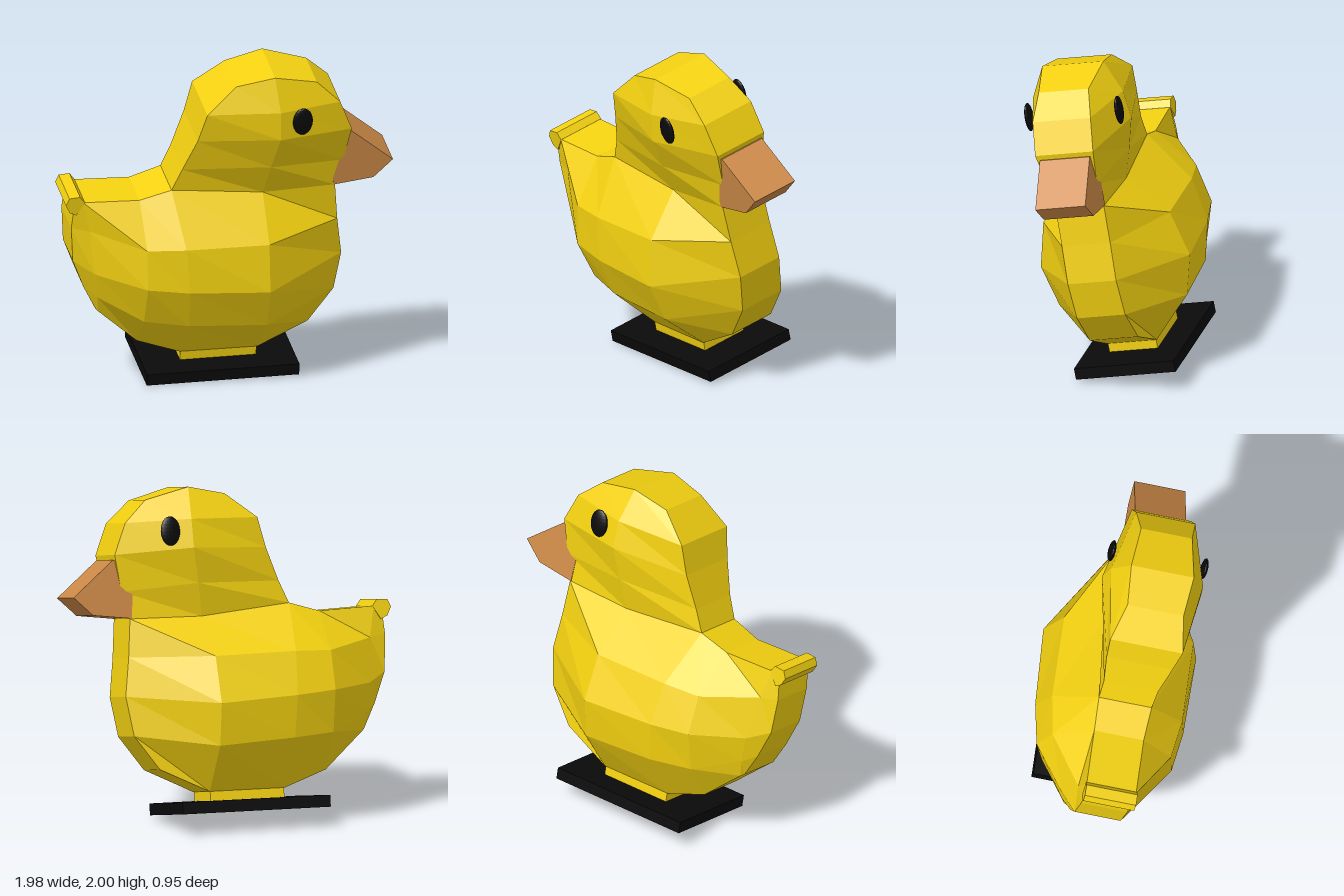
import * as THREE from 'three';

const mat = (color) => new THREE.MeshStandardMaterial({ color, flatShading: true });

// Closed shell from columns of [x, y, halfDepth] (rows run top to bottom), mirrored in z
// and joined around the border by a flat middle band.
function shell(columns) {
  const pos = [];
  const nc = columns.length, nr = columns[0].length;
  const p = (c, r, s) => {
    const [x, y, d] = columns[c][r];
    return [x, y, d * s];
  };
  const quad = (a, b, c, d) => pos.push(...a, ...b, ...c, ...a, ...c, ...d);
  for (let c = 0; c < nc - 1; c++) {
    for (let r = 0; r < nr - 1; r++) {
      quad(p(c, r, 1), p(c, r + 1, 1), p(c + 1, r + 1, 1), p(c + 1, r, 1));
      quad(p(c + 1, r, -1), p(c + 1, r + 1, -1), p(c, r + 1, -1), p(c, r, -1));
    }
  }
  // Border, counter-clockwise seen from +z
  const border = [];
  for (let r = 0; r < nr - 1; r++) border.push([0, r]);
  for (let c = 0; c < nc - 1; c++) border.push([c, nr - 1]);
  for (let r = nr - 1; r > 0; r--) border.push([nc - 1, r]);
  for (let c = nc - 1; c > 0; c--) border.push([c, 0]);
  border.forEach((a, i) => {
    const b = border[(i + 1) % border.length];
    quad(p(...a, 1), p(...a, -1), p(...b, -1), p(...b, 1));
  });
  const geo = new THREE.BufferGeometry();
  geo.setAttribute('position', new THREE.Float32BufferAttribute(pos, 3));
  geo.computeVertexNormals();
  return geo;
}

// Side profile extruded evenly about z = 0
function slab(points, width) {
  const shape = new THREE.Shape(points.map(([x, y]) => new THREE.Vector2(x, y)));
  return new THREE.ExtrudeGeometry(shape, { depth: width, bevelEnabled: false }).translate(0, 0, -width / 2);
}

export function createModel() {
  const model = new THREE.Group();
  const duck = new THREE.Group();
  duck.name = 'duck';
  model.add(duck);

  const yellow = mat(0xf2d010);
  const orange = mat(0xcd8a48);
  const black = mat(0x0a0a0a);
  const add = (name, geo, material, x = 0, y = 0, z = 0) => {
    const mesh = new THREE.Mesh(geo, material);
    mesh.name = name;
    mesh.position.set(x, y, z);
    duck.add(mesh);
    return mesh;
  };

  // Body, from tail to breast
  add('body', shell([
    [[-0.93, 1.16, 0.14], [-0.945, 1.0, 0.14], [-0.93, 0.78, 0.14], [-0.86, 0.6, 0.14], [-0.785, 0.45, 0.14]],
    [[-0.88, 1.17, 0.15], [-0.84, 0.985, 0.17], [-0.81, 0.72, 0.22], [-0.785, 0.55, 0.19], [-0.77, 0.44, 0.16]],
    [[-0.54, 1.158, 0.15], [-0.53, 0.925, 0.36], [-0.53, 0.69, 0.41], [-0.53, 0.44, 0.33], [-0.53, 0.22, 0.15]],
    [[-0.35, 1.215, 0.16], [-0.3, 0.93, 0.395], [-0.28, 0.67, 0.45], [-0.27, 0.42, 0.39], [-0.27, 0.126, 0.15]],
    [[0.2, 1.163, 0.17], [0.2, 0.925, 0.393], [0.2, 0.645, 0.464], [0.2, 0.394, 0.397], [0.2, 0.126, 0.156]],
    [[0.64, 1.168, 0.15], [0.66, 0.94, 0.15], [0.69, 0.71, 0.15], [0.65, 0.475, 0.15], [0.5, 0.27, 0.15]],
  ]), yellow);

  // Head and neck, from nape to face
  add('head', shell([
    [[0.02, 1.88, 0.17], [-0.16, 1.73, 0.22], [-0.21, 1.55, 0.2], [-0.29, 1.35, 0.165], [-0.35, 1.215, 0.16]],
    [[0.25, 1.93, 0.19], [0.27, 1.74, 0.28], [0.27, 1.57, 0.3], [0.23, 1.36, 0.235], [0.2, 1.163, 0.17]],
    [[0.51, 1.865, 0.155], [0.65, 1.735, 0.18], [0.725, 1.55, 0.18], [0.685, 1.33, 0.15], [0.64, 1.168, 0.15]],
  ]), yellow);

  // Lip at the tip of the tail
  add('tailTip', slab([
    [-0.87, 1.17], [-0.9, 1.21], [-0.965, 1.205], [-0.985, 1.16], [-0.96, 1.11], [-0.92, 1.09],
  ], 0.31), yellow);

  add('beak', slab([[0.63, 1.17], [0.87, 1.2], [0.985, 1.31], [0.73, 1.52], [0.6, 1.5]], 0.31), orange);

  // Eyes: thin upright discs
  for (const side of [1, -1]) {
    const eye = add(side > 0 ? 'rightEye' : 'leftEye', new THREE.SphereGeometry(1, 24, 12), black,
      0.405, 1.675, side * 0.28);
    eye.scale.set(0.06, 0.087, 0.02);
  }

  // Foot and base plate
  add('foot', new THREE.BoxGeometry(0.46, 0.08, 0.3), yellow, -0.035, 0.1, 0);
  add('basePlate', new THREE.BoxGeometry(0.92, 0.07, 0.62), black, -0.037, 0.035, 0);

  // The whole duck leans to one side
  duck.rotation.set(0.197, 0.035, 0.007);
  duck.position.set(0.005, 0.064, -0.14);
  return model;
}
